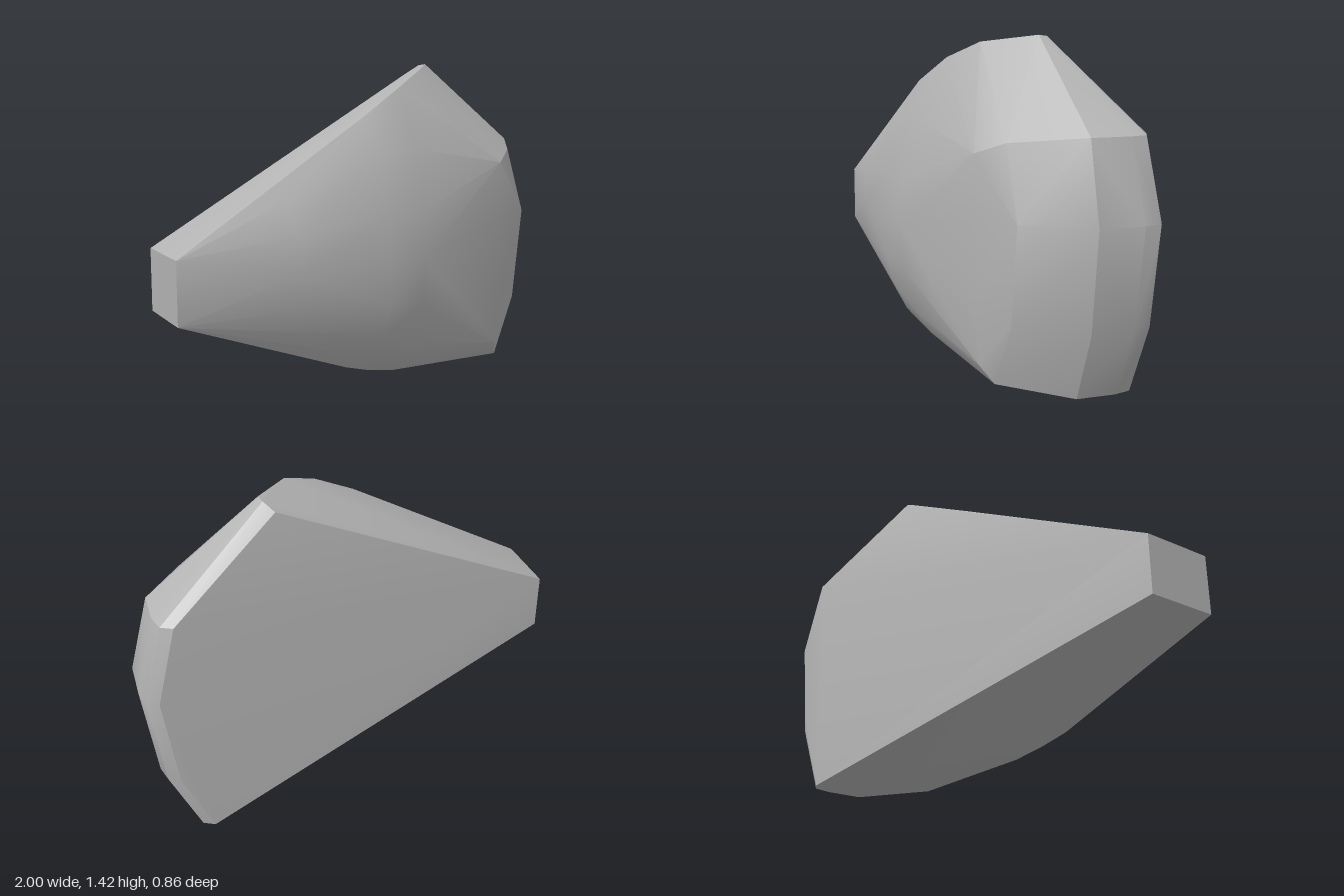
import * as THREE from 'three';
import { ConvexGeometry } from 'three/addons/geometries/ConvexGeometry.js';
import { toCreasedNormals } from 'three/addons/utils/BufferGeometryUtils.js';

export function createModel() {
  const group = new THREE.Group();
  const grey = new THREE.MeshStandardMaterial({ color: 0xb4b4b4 });
  grey.name = 'stone grey';

  const points = [];
  const add = (x, y, z) => points.push(new THREE.Vector3(x, y, z));

  // Square narrow end
  for (const y of [0.43, 0.69]) for (const z of [0.06, 0.38]) add(-1, y, z);

  // Wide end: an outer wall with a rounded back edge, then a sloping front facet
  // Each row: outer x, y, back z, then the front facet's x, y, z
  const rim = [
    [0.91, 1.06, -0.405, 0.73, 1.03, 0.13],
    [1.0, 0.73, -0.432, 0.83, 0.73, 0.12],
    [0.95, 0.31, -0.42, 0.78, 0.31, 0.125],
    [0.82, 0.005, -0.405, 0.66, 0.045, 0.15],
  ];
  for (const [x, y, back, fx, fy, fz] of rim) {
    add(x, y, -0.14);
    add(x, y, back + 0.1);
    add(x - 0.02, y, back + 0.025);
    add(x - 0.07, y, back);
    add(fx, fy, fz);
  }

  // Top ridge, curving from the peak down to the long upper edge
  add(0.42, 1.43, -0.12);
  add(0.41, 1.425, -0.16);
  add(0.37, 1.39, -0.2);
  add(0.26, 1.4, 0.08);
  add(0.1, 1.33, 0.18);
  add(-0.1, 1.22, 0.25);

  // Bulging front, one upright cross-section at a time: x, then [y, z] pairs
  const sections = [
    [-0.5, [0.9, 0.36], [0.75, 0.415], [0.6, 0.43], [0.45, 0.415], [0.3, 0.355]],
    [-0.08, [1.08, 0.325], [0.8, 0.41], [0.6, 0.43], [0.42, 0.415], [0.28, 0.375], [0.17, 0.325]],
    [0.1, [1.07, 0.315], [0.8, 0.38], [0.6, 0.4], [0.4, 0.38], [0.2, 0.32], [0.1, 0.26]],
    [0.62, [0.98, 0.225], [0.73, 0.235], [0.4, 0.23], [0.12, 0.205]],
  ];
  for (const [x, ...pairs] of sections) for (const [y, z] of pairs) add(x, y, z);

  // Curved lower edge
  add(-0.22, 0.135, 0.28);
  add(-0.1, 0.098, 0.25);
  add(0.05, 0.068, 0.22);

  const body = new THREE.Mesh(toCreasedNormals(new ConvexGeometry(points), 0.42), grey);
  body.name = 'wedgeBody';
  group.add(body);
  return group;
}
